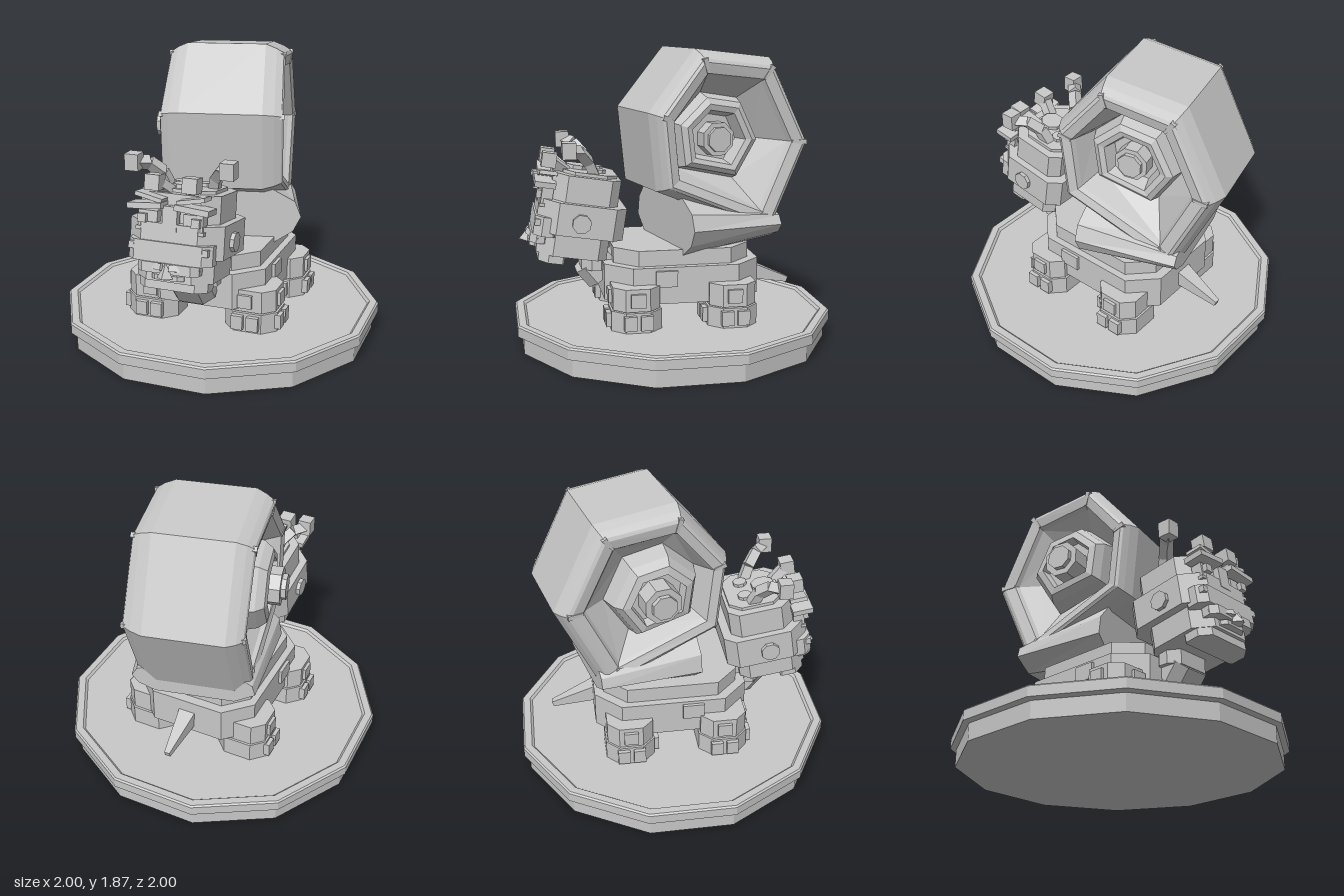
import * as THREE from 'three';

const stone = new THREE.MeshStandardMaterial({ color: 0xc8c8c8 });
stone.name = 'stoneGrey';
const V = (x, y, z) => new THREE.Vector3(x, y, z);

// Faceted mesh with a name
function add(parent, name, geometry, x = 0, y = 0, z = 0) {
  const g = geometry.index ? geometry.toNonIndexed() : geometry;
  g.computeVertexNormals();
  const mesh = new THREE.Mesh(g, stone);
  mesh.name = name;
  mesh.position.set(x, y, z);
  parent.add(mesh);
  return mesh;
}
const box = (w, h, d) => new THREE.BoxGeometry(w, h, d);

// Upright block with cut vertical corners; cf cuts the front, cb the back
function block(w, h, d, cf, cb = cf) {
  const a = w / 2, b = d / 2;
  const s = new THREE.Shape([[-a + cf, -b], [a - cf, -b], [a, -b + cf], [a, b - cb],
    [a - cb, b], [-a + cb, b], [-a, b - cb], [-a, -b + cf]].map(p => new THREE.Vector2(...p)));
  const g = new THREE.ExtrudeGeometry(s, { depth: h, bevelEnabled: false });
  return g.rotateX(-Math.PI / 2).translate(0, -h / 2, 0);
}

// Octagonal stud whose axis is x or y
function stud(r, h, alongX) {
  const g = new THREE.CylinderGeometry(r, r, h, 8).rotateY(Math.PI / 8);
  return alongX ? g.rotateZ(-Math.PI / 2) : g;
}

// Tapered square bar between two points
function bar(parent, name, a, b, r1, r2) {
  const g = new THREE.CylinderGeometry(r2 * 1.414, r1 * 1.414, a.distanceTo(b), 4).rotateY(Math.PI / 4);
  const m = add(parent, name, g);
  m.position.copy(a).add(b).multiplyScalar(0.5);
  m.quaternion.setFromUnitVectors(V(0, 1, 0), b.clone().sub(a).normalize());
}

// Twelve-sided plinth with a raised rim
function makeBase(root) {
  const k = 1 / Math.cos(Math.PI / 12);
  const pts = [[0, 0.005], [0.965, 0.005], [0.965, 0.11], [1, 0.12], [1, 0.18], [0.99, 0.19],
    [0.945, 0.19], [0.93, 0.175], [0, 0.175]].map(p => new THREE.Vector2(p[0] * k, p[1]));
  add(root, 'base', new THREE.LatheGeometry(pts, 12).rotateY(Math.PI / 12));
}

function makeBody(root) {
  const body = new THREE.Group();
  body.name = 'body';
  root.add(body);
  add(body, 'belly', block(0.8, 0.23, 0.98, 0.16), 0, 0.435, -0.03);
  add(body, 'back', block(0.71, 0.105, 0.86, 0.14), 0, 0.595, -0.03);
  bar(body, 'tail', V(0, 0.445, -0.42), V(0, 0.33, -0.79), 0.065, 0.018);
  const neck = add(body, 'neck', block(0.28, 0.13, 0.3, 0.06), 0, 0.505, 0.46);
  neck.rotation.x = 0.68;
  add(body, 'throat', block(0.34, 0.16, 0.18, 0.06), 0, 0.57, 0.5);
  for (const s of [-1, 1]) {
    add(body, 'sidePlate', box(0.03, 0.1, 0.135), s * 0.405, 0.48, 0.095);
    for (const z of [0.285, -0.315]) {
      // Leg, foot, knobs and toes
      const leg = new THREE.Group();
      leg.name = z > 0 ? 'frontLeg' : 'hindLeg';
      leg.position.set(s * 0.33, 0, z);
      body.add(leg);
      add(leg, 'thigh', block(0.32, 0.14, 0.29, 0.07), 0, 0.375, 0);
      add(leg, 'ankle', block(0.28, 0.03, 0.26, 0.07), 0, 0.305, 0);
      add(leg, 'foot', block(0.34, 0.13, 0.31, 0.08), 0, 0.235, 0);
      add(leg, 'sideKnob', box(0.05, 0.085, 0.09), s * 0.155, 0.375, 0);
      add(leg, 'frontKnob', box(0.09, 0.085, 0.04), -s * 0.015, 0.375, 0.145);
      for (const t of [-0.05, 0.05]) {
        add(leg, 'sideToe', box(0.05, 0.09, 0.075), s * 0.17, 0.24, t);
        add(leg, 'frontToe', box(0.075, 0.09, 0.05), t - s * 0.01, 0.24, 0.16);
      }
    }
  }
}

function makeShell(root) {
  const shell = new THREE.Group();
  shell.name = 'shell';
  shell.position.set(-0.03, 1.31, -0.2);
  shell.rotation.y = 0.235;
  root.add(shell);
  // Side outline of the whorl as (z, y) corners, with the width scale to right and left
  const rim = [[0.47, 0.18, 0.97, 1], [0.16, 0.56, 0.9, 0.97], [-0.35, 0.5, 0.83, 1.02],
    [-0.61, -0.03, 0.8, 1.07], [-0.34, -0.62, 0.83, 1.05], [0.42, -0.3, 0.97, 1]];
  // Section across the shell: share of the outline radius, fixed radius, x
  const section = [[0, 0, -0.3], [0, 0.17, -0.3], [0, 0.18, -0.37], [0, 0.23, -0.36], [0, 0.27, -0.31],
    [0, 0.3, -0.2], [0.71, 0, -0.34], [0.74, 0, -0.37], [0.86, 0, -0.385], [0.9, 0, -0.375], [0.95, 0, -0.33],
    [1, 0, -0.26], [1, 0, 0.26], [0.95, 0, 0.33], [0.9, 0, 0.375], [0.86, 0, 0.385], [0.74, 0, 0.37],
    [0.71, 0, 0.34], [0, 0.3, 0.17], [0, 0.27, 0.26], [0, 0.23, 0.28], [0, 0.19, 0.27], [0, 0.16, 0.18], [0, 0, 0.18]];
  const point = (i, j) => {
    const [z, y, right, left] = rim[i % rim.length], [f, r, x] = section[j];
    const k = f + r / Math.hypot(z, y);
    const w = f === 0 ? 1 : x < 0 ? right : left;
    return [x * w, y * k, z * k];
  };
  const pos = [];
  for (let i = 0; i < rim.length; i++) {
    for (let j = 0; j < section.length - 1; j++) {
      const a = point(i, j), b = point(i, j + 1), c = point(i + 1, j + 1), d = point(i + 1, j);
      pos.push(...a, ...b, ...c, ...a, ...c, ...d);
    }
  }
  const g = new THREE.BufferGeometry();
  g.setAttribute('position', new THREE.Float32BufferAttribute(pos, 3));
  add(shell, 'whorl', g);
  // Hubs at the centre of the coil
  add(shell, 'rightHub', stud(0.12, 0.14, true), -0.36, 0, 0);
  add(shell, 'rightHubCap', stud(0.08, 0.06, true), -0.43, 0, 0);
  add(shell, 'leftHub', stud(0.11, 0.1, true), 0.22, 0, 0);
  add(shell, 'leftHubCap', stud(0.08, 0.03, true), 0.28, 0, 0);
  // Raised seams where the rim panels meet
  for (const [inner, outer] of [[7, 9], [16, 14]]) {
    for (let i = 0; i < 5; i++) {
      bar(shell, 'rimSeam', V(...point(i, inner)), V(...point(i, outer)), 0.008, 0.016);
    }
  }
  // Last turn of the coil, ending in the mouth
  const mouth = new THREE.Shape([[-0.25, -0.7], [0.33, -0.7], [0.45, -0.62], [0.5, -0.52], [0.46, -0.42],
    [0.31, -0.34], [-0.28, -0.34], [-0.38, -0.45], [-0.4, -0.57]].map(p => new THREE.Vector2(...p)));
  const tube = new THREE.ExtrudeGeometry(mouth, { depth: 0.64, bevelEnabled: false });
  const p = tube.attributes.position;
  for (let i = 0; i < p.count; i++) {
    // The rear end narrows and meets the whorl
    if (p.getZ(i) < 0.1) p.setXY(i, p.getX(i) * 0.86, -0.54 + (p.getY(i) + 0.52) * 0.55);
  }
  add(shell, 'mouthTube', tube.translate(0, 0, -0.37));
}

function makeHead(root) {
  const head = new THREE.Group();
  head.name = 'head';
  head.position.set(0, 0.83, 0.62);
  head.rotation.x = -0.157;
  root.add(head);
  head.updateMatrixWorld();
  const L = (x, y, z) => head.worldToLocal(V(x, y, z));
  const put = (name, g, x, y, z) => add(head, name, g, ...L(x, y, z).toArray());

  add(head, 'skull', block(0.5, 0.18, 0.42, 0.09, 0.06), 0, 0.18, -0.03);
  add(head, 'face', block(0.59, 0.2, 0.54, 0.12, 0.07), 0, 0.005, -0.025);
  add(head, 'lowerFace', block(0.48, 0.16, 0.44, 0.1, 0.06), 0, -0.16, 0);
  add(head, 'crown', block(0.4, 0.03, 0.34, 0.07), 0, 0.275, -0.05);
  put('foreheadStud', stud(0.075, 0.04), 0, 1.125, 0.6);
  put('noseBridge', box(0.09, 0.15, 0.05), 0, 0.995, 0.82);
  put('muzzle', block(0.52, 0.12, 0.13, 0.05, 0.01), 0, 0.8, 0.82);
  put('upperLip', block(0.38, 0.06, 0.1, 0.04, 0.01), 0, 0.715, 0.86);
  put('lowerLip', block(0.2, 0.03, 0.1, 0.03, 0.01), 0, 0.66, 0.86);
  put('jaw', block(0.43, 0.06, 0.16, 0.06, 0.01), 0, 0.59, 0.78);
  put('nose', new THREE.ConeGeometry(0.05, 0.09, 4), 0, 0.715, 0.915);
  for (const s of [-1, 1]) {
    put('ear', stud(0.06, 0.04, true), s * 0.3, 0.82, 0.6);
    put('crownStud', stud(0.045, 0.04), s * 0.08, 1.1, 0.47);
    put('cheekStud', box(0.04, 0.04, 0.04), s * 0.225, 0.83, 0.86);
    put('eye', box(0.12, 0.1, 0.07), s * 0.14, 0.98, 0.8);
    put('pupil', box(0.05, 0.05, 0.03), s * 0.165, 0.995, 0.85);
    put('lowerLid', box(0.16, 0.02, 0.1), s * 0.13, 0.925, 0.8);
    const brow = put('brow', box(0.21, 0.035, 0.13), s * 0.145, 1.065, 0.81);
    brow.rotation.z = -s * 0.08;
    const crest = put('crest', box(0.17, 0.025, 0.11), s * 0.13, 1.11, 0.79);
    crest.rotation.z = s * 0.2;
    bar(head, 'whisker', L(s * 0.02, 0.73, 0.91), L(s * 0.19, 0.71, 0.86), 0.02, 0.008);
    // Long outer feeler
    const path = [[0.14, 1.08, 0.5], [0.17, 1.18, 0.54], [0.23, 1.25, 0.6], [0.29, 1.26, 0.66]];
    for (let i = 0; i < 3; i++) {
      const [a, b] = [path[i], path[i + 1]];
      bar(head, 'longFeeler', L(s * a[0], a[1], a[2]), L(s * b[0], b[1], b[2]), 0.032, 0.03);
    }
    const tip = put('longFeelerTip', box(0.085, 0.1, 0.085), s * 0.295, 1.27, 0.67);
    tip.rotation.x = 0.157;
    // Short inner feeler
    bar(head, 'shortFeeler', L(s * 0.06, 1.1, 0.66), L(s * 0.11, 1.19, 0.77), 0.03, 0.03);
    put('shortFeelerTip', box(0.09, 0.09, 0.09), s * 0.115, 1.195, 0.78);
  }
}

export function createModel() {
  const root = new THREE.Group();
  root.name = 'snailStatue';
  makeBase(root);
  makeBody(root);
  makeShell(root);
  makeHead(root);
  return root;
}
